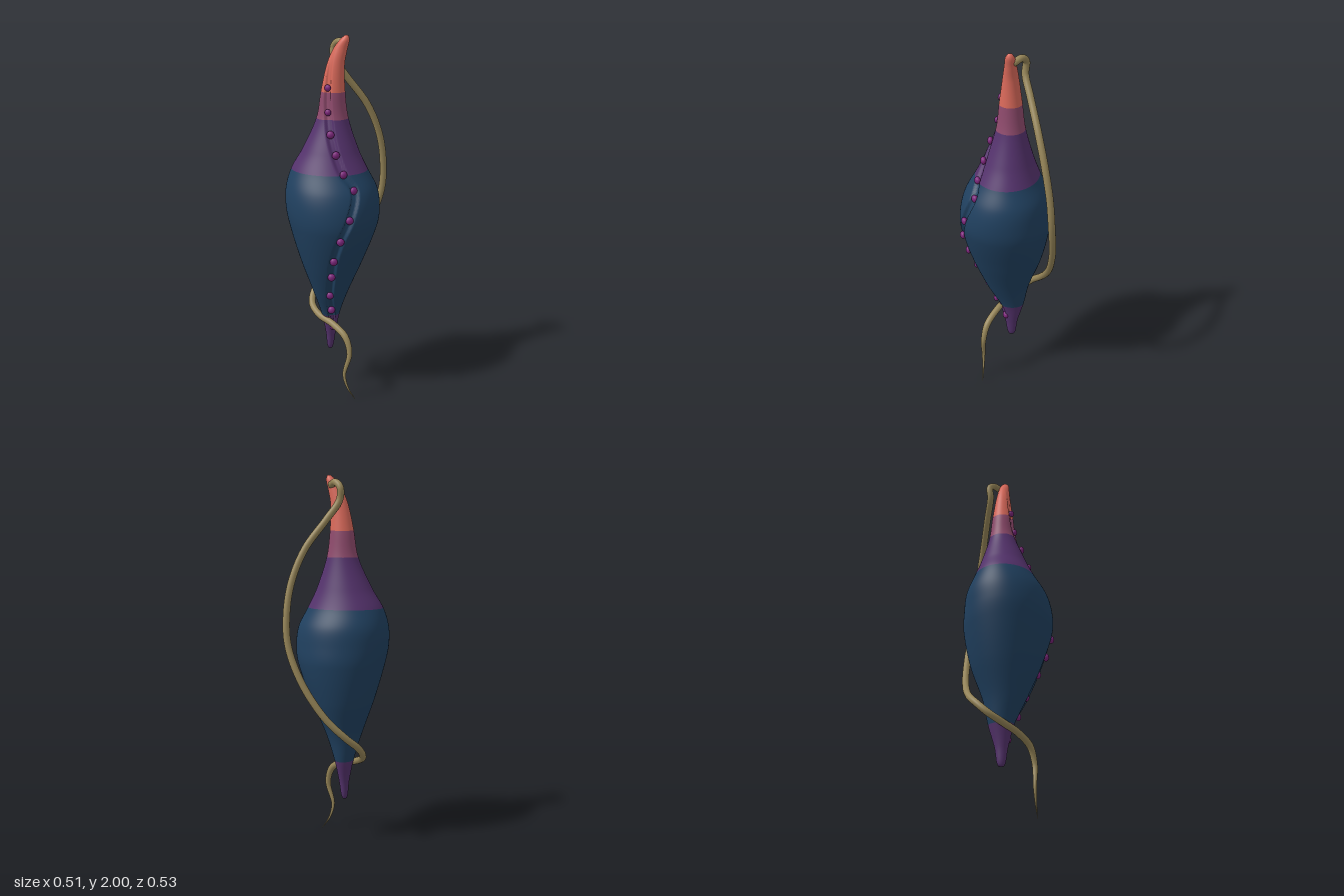
import * as THREE from 'three';

const mat = (name, color, side = THREE.FrontSide) => {
  const m = new THREE.MeshStandardMaterial({ color, side });
  m.name = name;
  return m;
};

// Smooth interpolation of table rows [y, ...values], ascending in y
function sample(rows, y) {
  const last = rows.length - 1;
  let i = 0;
  while (i < last - 1 && y > rows[i + 1][0]) i++;
  const a = rows[i], b = rows[i + 1];
  const p = rows[Math.max(i - 1, 0)], n = rows[Math.min(i + 2, last)];
  const h = b[0] - a[0];
  const t = THREE.MathUtils.clamp((y - a[0]) / h, 0, 1), t2 = t * t, t3 = t2 * t;
  return a.slice(1).map((v, k) => {
    const c = k + 1;
    const m0 = ((b[c] - p[c]) / (b[0] - p[0])) * h;
    const m1 = ((n[c] - a[c]) / (n[0] - a[0])) * h;
    return (2 * t3 - 3 * t2 + 1) * v + (t3 - 2 * t2 + t) * m0
      + (3 * t2 - 2 * t3) * b[c] + (t3 - t2) * m1;
  });
}

// Body cross-sections: y, centre x, centre z, radius x, radius z
const SECTIONS = [
  [0.24, -0.023, -0.01, 0.012, 0.016],
  [0.26, -0.022, -0.01, 0.018, 0.024],
  [0.34, -0.02, -0.01, 0.028, 0.036],
  [0.46, -0.02, -0.01, 0.052, 0.07],
  [0.6, -0.015, 0.01, 0.096, 0.12],
  [0.8, -0.007, 0.015, 0.173, 0.195],
  [1.0, 0.002, 0.022, 0.238, 0.242],
  [1.1, -0.002, 0.024, 0.253, 0.241],
  [1.2, -0.01, 0.018, 0.245, 0.222],
  [1.3, -0.022, 0.012, 0.205, 0.172],
  [1.4, -0.018, 0.005, 0.152, 0.131],
  [1.57, -0.009, -0.005, 0.085, 0.078],
  [1.71, -0.006, -0.006, 0.064, 0.06],
  [1.85, 0.008, -0.007, 0.047, 0.042],
  [1.93, 0.032, -0.008, 0.037, 0.031],
  [1.98, 0.056, -0.008, 0.024, 0.023],
  [2.0, 0.064, -0.008, 0.009, 0.01],
];

// Nodules along the groove: y, x, z
const NODULES = [
  [0.385, 0, 0.022], [0.505, 0, 0.075], [0.61, 0, 0.12], [0.74, 0.02, 0.18],
  [0.845, 0.04, 0.222], [0.965, 0.08, 0.245], [1.08, 0.125, 0.228],
  [1.225, 0.135, 0.168], [1.305, 0.08, 0.16], [1.4, 0.035, 0.133],
  [1.5, 0, 0.1], [1.61, -0.02, 0.066], [1.735, -0.024, 0.048],
];
const GROOVE = [...NODULES, [1.95, -0.005, 0.02]];

function bodyGeometry() {
  const rings = 176, sides = 200, pos = [], idx = [];
  for (let j = 0; j <= rings; j++) {
    const y = 0.24 + j * 0.01;
    const [cx, cz, rx, rz] = sample(SECTIONS, y);
    const [gx, gz] = sample(GROOVE, y);
    const ga = Math.atan2((gx - cx) / rx, (gz - cz) / rz);
    // The groove fades out and narrows at both ends
    const fade = THREE.MathUtils.smoothstep(y, 0.34, 0.5) * (1 - THREE.MathUtils.smoothstep(y, 1.65, 1.95));
    const r = (rx + rz) / 2, half = 0.012 + 0.014 * fade;
    for (let i = 0; i < sides; i++) {
      const a = (i / sides) * Math.PI * 2;
      const diff = Math.atan2(Math.sin(a - ga), Math.cos(a - ga));
      const d = Math.abs(diff) * r / half;
      const k = 1 - 0.016 * fade * (1 - THREE.MathUtils.smoothstep(d, 0.5, 1)) / r;
      pos.push(cx + rx * k * Math.sin(a), y, cz + rz * k * Math.cos(a));
    }
  }
  const low = pos.length / 3;
  pos.push(-0.023, 0.236, -0.01, 0.066, 2.002, -0.008);
  const geo = new THREE.BufferGeometry();
  // Colour bands: first ring of each band and its material
  const bands = [[0, 2], [22, 3], [106, 2], [133, 1], [147, 0], [rings, 0]];
  for (let b = 0; b < bands.length - 1; b++) {
    const start = idx.length;
    for (let j = bands[b][0]; j < bands[b + 1][0]; j++) {
      for (let i = 0; i < sides; i++) {
        const p = j * sides + i, q = j * sides + (i + 1) % sides;
        idx.push(p, q, q + sides, p, q + sides, p + sides);
        if (j === 0) idx.push(low, q, p);
        if (j === rings - 1) idx.push(low + 1, p + sides, q + sides);
      }
    }
    geo.addGroup(start, idx.length - start, bands[b][1]);
  }
  geo.setAttribute('position', new THREE.Float32BufferAttribute(pos, 3));
  geo.setIndex(idx);
  geo.computeVertexNormals();
  return geo;
}

// Tendril centre line, from the tip of the body to the free end
const TENDRIL = [
  [0.045, 1.95, -0.03], [0.015, 1.962, -0.062], [-0.016, 1.935, -0.082],
  [-0.012, 1.87, -0.078], [0.05, 1.77, -0.11], [0.152, 1.62, -0.16],
  [0.212, 1.46, -0.2], [0.234, 1.3, -0.228], [0.225, 1.12, -0.242],
  [0.15, 0.92, -0.245], [0.03, 0.73, -0.22], [-0.07, 0.62, -0.175],
  [-0.13, 0.55, -0.115], [-0.135, 0.49, -0.05], [-0.085, 0.45, 0.015],
  [0.01, 0.42, 0.075], [0.085, 0.37, 0.12], [0.113, 0.28, 0.138],
  [0.085, 0.15, 0.143], [0.105, 0.07, 0.143], [0.148, 0.003, 0.142],
];

function tendrilGeometry() {
  const curve = new THREE.CatmullRomCurve3(TENDRIL.map(p => new THREE.Vector3(...p)));
  const steps = 240, sides = 14;
  const geo = new THREE.TubeGeometry(curve, steps, 0.019, sides, false);
  const pos = geo.attributes.position, v = new THREE.Vector3();
  // Taper to a point at the free end
  for (let i = 0; i < pos.count; i++) {
    const t = Math.floor(i / (sides + 1)) / steps;
    const c = curve.getPointAt(t);
    const s = t > 0.84 ? Math.max(0.06, Math.pow((1 - t) / 0.16, 0.75)) : 1;
    v.fromBufferAttribute(pos, i).sub(c).multiplyScalar(s).add(c);
    pos.setXYZ(i, v.x, v.y, v.z);
  }
  geo.computeBoundingSphere();
  return geo;
}

export function createModel() {
  const group = new THREE.Group();
  group.name = 'pod';
  const coral = mat('coral', 0xd9695a);
  const mauve = mat('mauve', 0x8e4a6c);
  const purple = mat('purple', 0x54326c);
  const navy = mat('navy', 0x20405f);
  const tan = mat('tan', 0x968558, THREE.DoubleSide);
  const magenta = mat('magenta', 0x7d267c);

  const body = new THREE.Mesh(bodyGeometry(), [coral, mauve, purple, navy]);
  body.name = 'body';
  group.add(body);

  const tendril = new THREE.Mesh(tendrilGeometry(), tan);
  tendril.name = 'tendril';
  // Rounded start of the tendril
  const start = new THREE.Mesh(new THREE.SphereGeometry(0.019, 14, 10), tan);
  start.name = 'tendrilStart';
  start.position.set(...TENDRIL[0]);
  group.add(tendril, start);

  // Row of small beads, flattened against the body
  const bead = new THREE.SphereGeometry(0.021, 12, 8);
  const beads = new THREE.Group();
  beads.name = 'beads';
  for (const [y, x, z] of NODULES) {
    const [cx, cz] = sample(SECTIONS, y);
    const m = new THREE.Mesh(bead, magenta);
    m.name = 'bead';
    m.position.set(x, y, z);
    m.rotation.y = Math.atan2(x - cx, z - cz);
    m.scale.set(1, 1, 0.75);
    if (y > 1.6) m.scale.multiplyScalar(0.85);
    beads.add(m);
  }
  group.add(beads);
  return group;
}
